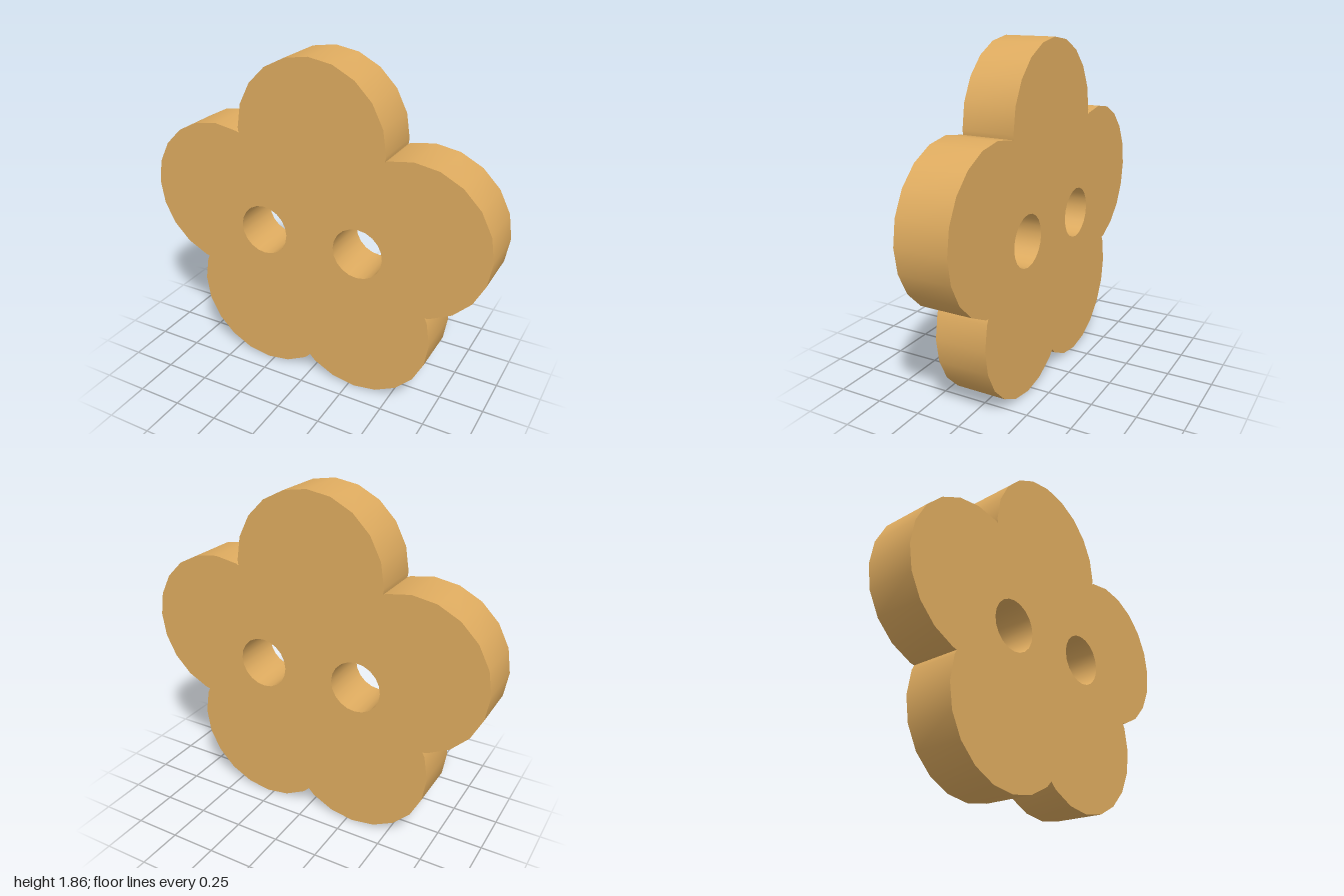
import * as THREE from 'three';
import { toCreasedNormals } from 'three/addons/utils/BufferGeometryUtils.js';

const U = 2 / 7;               // design unit: button thickness
const R = 1.5 * U;             // petal radius
const STEP = Math.PI / 10;     // twenty sides to a full circle

// Petals counter-clockwise: centre, first and last corner, then the notch that follows
const PETALS = [
  { c: [2 * U, 3.5 * U], from: -4, to: 6, notch: [0.424, 1.4] },
  { c: [0, 5 * U], from: 0, to: 10, notch: [-0.424, 1.4] },
  { c: [-2 * U, 3.5 * U], from: 4, to: 14, notch: [-0.68, 0.588] },
  { c: [-U, R], from: 9, to: 17, notch: [0, 0.116] },
  { c: [U, R], from: 13, to: 21, notch: [0.68, 0.588] },
];

function arc(cx, cy, r, from, to) {
  const points = [];
  for (let i = from; i <= to; i++) {
    points.push(new THREE.Vector2(cx + r * Math.cos(i * STEP), cy + r * Math.sin(i * STEP)));
  }
  return points;
}

export function createModel() {
  const group = new THREE.Group();
  group.name = 'flowerButton';

  // Five-petal outline
  const outline = PETALS.flatMap(({ c, from, to, notch }) =>
    [...arc(c[0], c[1], R, from, to), new THREE.Vector2(...notch)]);
  const shape = new THREE.Shape(outline);

  // Two thread holes
  for (const side of [-1, 1]) {
    shape.holes.push(new THREE.Path(arc(side * U, 3 * U, U / 2, 0, 19).reverse()));
  }

  // Smooth petal walls with sharp rims and notches
  const slab = new THREE.ExtrudeGeometry(shape, { depth: U, bevelEnabled: false });
  slab.translate(0, 0, -U / 2);
  const body = new THREE.Mesh(
    toCreasedNormals(slab, 0.5),
    new THREE.MeshStandardMaterial({ color: 0xdeab5f }),
  );
  body.name = 'buttonBody';
  group.add(body);
  return group;
}
